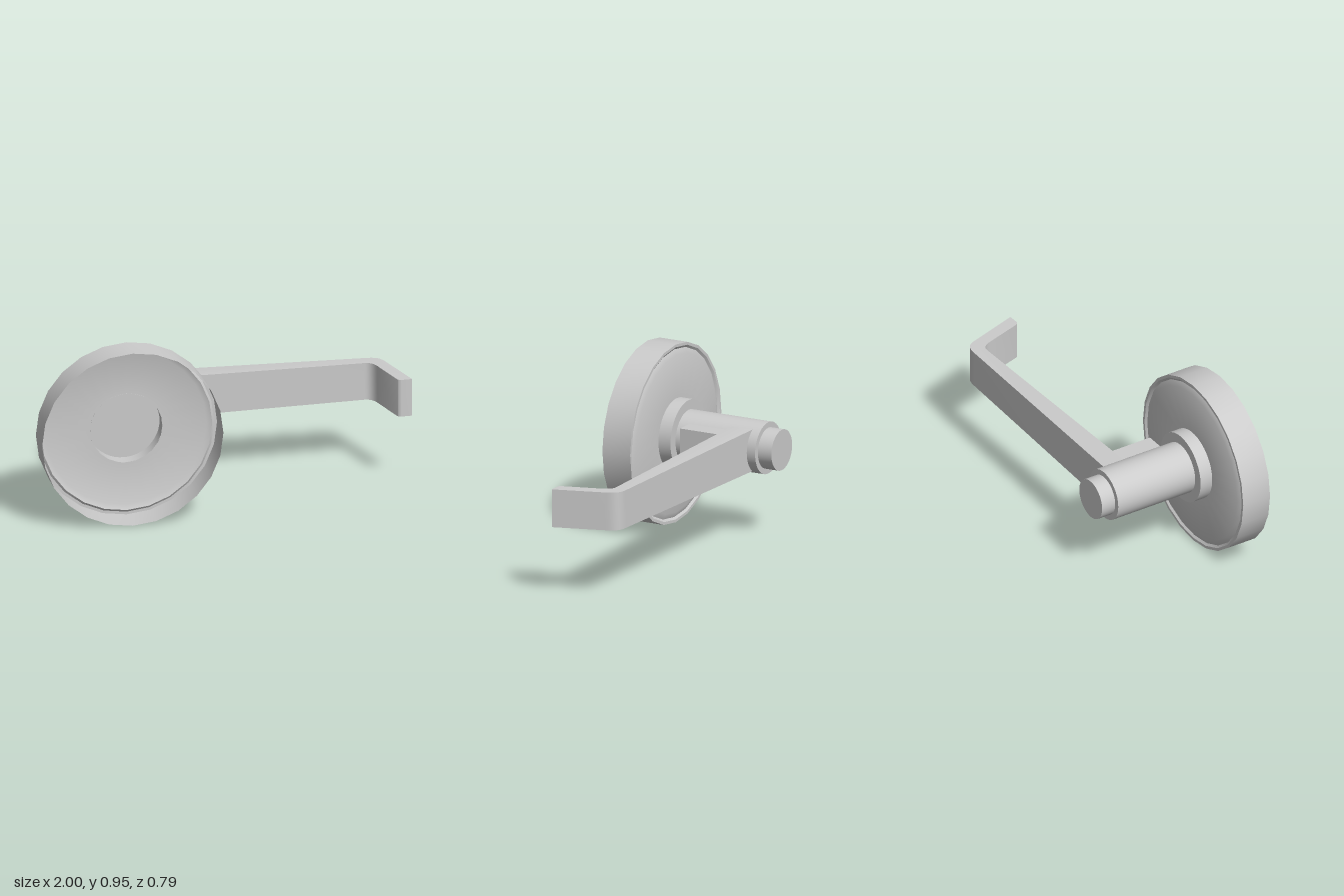
import * as THREE from 'three';
import { toCreasedNormals } from 'three/addons/utils/BufferGeometryUtils.js';

const AXIS_X = -0.525, AXIS_Y = 0.476;
const grey = new THREE.MeshStandardMaterial({ color: 0xcccccc });
const sheet = new THREE.MeshStandardMaterial({ color: 0xcccccc, side: THREE.DoubleSide });

// Turned part around the spindle; profile points are [radius, z]
function turned(name, profile, sides, material) {
  const points = profile.map(([r, z]) => new THREE.Vector2(r, z));
  const geometry = new THREE.LatheGeometry(points, sides).rotateX(Math.PI / 2);
  const mesh = new THREE.Mesh(toCreasedNormals(geometry, 0.5), material);
  mesh.name = name;
  mesh.position.set(AXIS_X, AXIS_Y, 0);
  return mesh;
}

// Lever: outline in plan, extruded in height and tapered towards the tip
function createLever() {
  const s = new THREE.Shape();
  s.moveTo(-0.445, -0.267);
  s.lineTo(0.82, -0.24);
  s.bezierCurveTo(0.88, -0.24, 0.9, -0.22, 0.915, -0.17);
  s.lineTo(1, 0.098);
  s.lineTo(0.945, 0.1);
  s.quadraticCurveTo(0.928, 0.1, 0.922, 0.082);
  s.lineTo(0.862, -0.115);
  s.quadraticCurveTo(0.846, -0.17, 0.805, -0.17);
  s.lineTo(-0.445, -0.145);
  s.closePath();
  const geometry = new THREE.ExtrudeGeometry(s, { depth: 2, bevelEnabled: false, curveSegments: 8 });
  geometry.translate(0, 0, -1).rotateX(Math.PI / 2);
  const p = geometry.attributes.position;
  for (let i = 0; i < p.count; i++) {
    const t = Math.min(1, (p.getX(i) + 0.445) / 1.265);
    p.setY(i, p.getY(i) * THREE.MathUtils.lerp(0.111, 0.101, t));
  }
  const mesh = new THREE.Mesh(toCreasedNormals(geometry, 0.5), grey);
  mesh.name = 'lever';
  mesh.position.y = AXIS_Y;
  return mesh;
}

export function createModel() {
  const group = new THREE.Group();
  group.name = 'doorLever';

  // Hollow rose, open to the front, with a shallow groove inside its back rim
  group.add(turned('rose', [
    [0.189, 0.226], [0.42, 0.227], [0.448, 0.24], [0.46, 0.231], [0.475, 0.231], [0.475, 0.395],
  ], 24, sheet));

  // Collar, an open cup seen through the rose
  group.add(turned('collar', [[0, 0.155], [0.189, 0.155], [0.189, 0.227]], 48, sheet));

  // Barrel with the narrower end cap
  group.add(turned('barrel', [[0.108, -0.315], [0.137, -0.315], [0.137, 0.155]], 48, grey));
  group.add(turned('endCap', [[0, -0.395], [0.108, -0.395], [0.108, -0.31]], 48, grey));

  group.add(createLever());

  // Stop block between lever and collar
  const stop = new THREE.Mesh(new THREE.BoxGeometry(0.115, 0.19, 0.245), grey);
  stop.name = 'stopBlock';
  stop.position.set(-0.385, AXIS_Y, -0.028);
  group.add(stop);

  return group;
}
